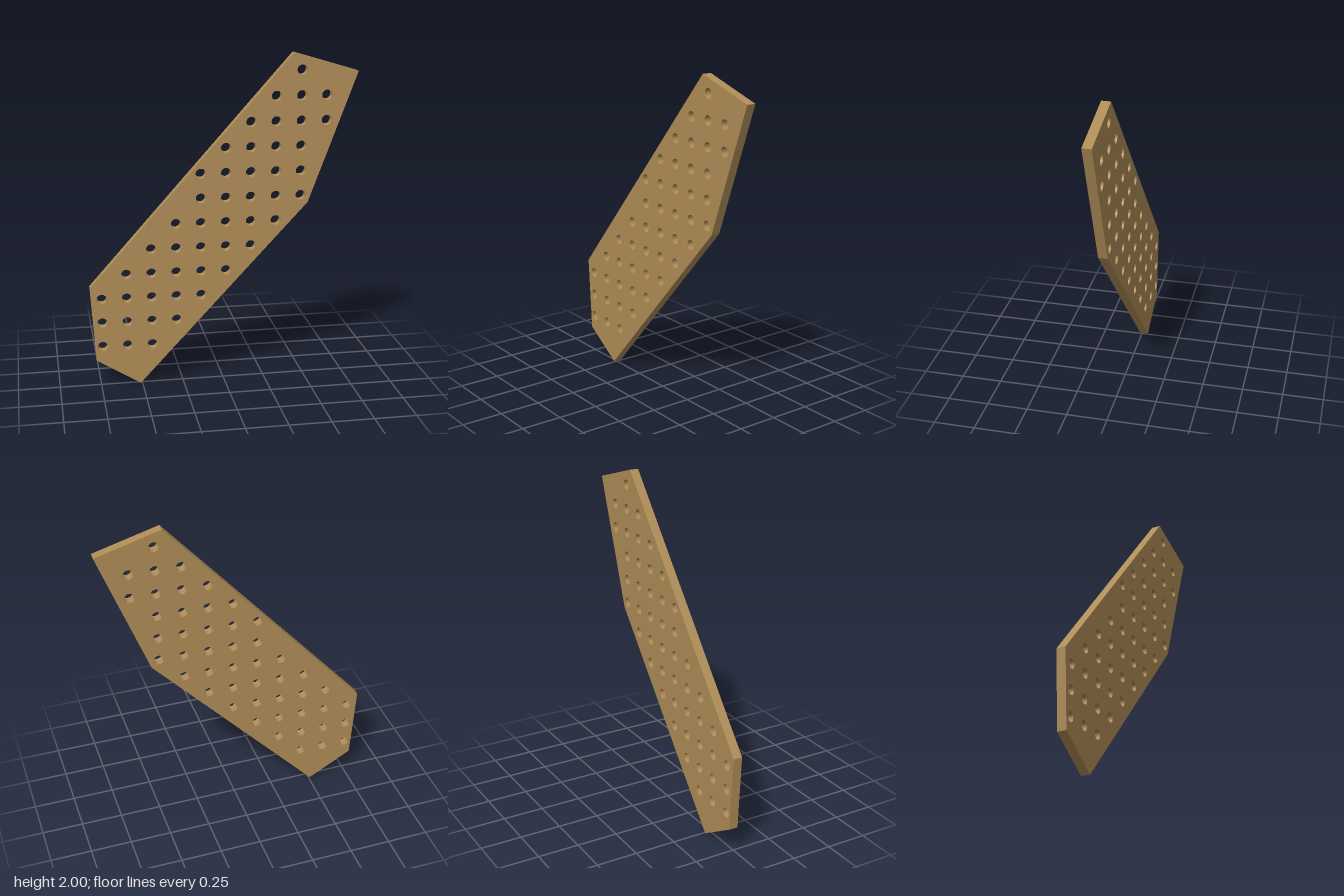
import * as THREE from 'three';

const THICKNESS = 0.055;
const PITCH = 0.15;
const HOLE_RADIUS = 0.03;
const FIRST_HOLE = [-0.735, 0.25];

// Outline corners of the plate, counter-clockwise
const OUTLINE = [
  [-0.51, 0], [0.51, 1.105], [0.8, 1.885],
  [0.415, 2], [-0.805, 0.62], [-0.775, 0.16],
];

// First and last hole column of each row, from the bottom up
const HOLE_ROWS = [
  [0, 2], [0, 3], [0, 4], [1, 5], [2, 6], [3, 7],
  [4, 8], [4, 8], [5, 8], [6, 9], [7, 9], [8, 8],
];

export function createModel() {
  const group = new THREE.Group();
  group.name = 'perforatedPanel';

  // Plate outline with a regular grid of round holes
  const shape = new THREE.Shape(OUTLINE.map(([x, y]) => new THREE.Vector2(x, y)));
  HOLE_ROWS.forEach(([first, last], row) => {
    for (let col = first; col <= last; col++) {
      const hole = new THREE.Path();
      hole.absarc(FIRST_HOLE[0] + col * PITCH, FIRST_HOLE[1] + row * PITCH, HOLE_RADIUS, 0, Math.PI * 2, true);
      shape.holes.push(hole);
    }
  });

  const geometry = new THREE.ExtrudeGeometry(shape, {
    depth: THICKNESS, bevelEnabled: false, curveSegments: 16,
  });
  geometry.translate(0, 0, -THICKNESS / 2);

  // The plate is turned slightly about the vertical axis
  const plate = new THREE.Mesh(geometry, new THREE.MeshStandardMaterial({ color: 0xb08d57 }));
  plate.name = 'plate';
  plate.rotation.y = -0.0235;
  group.add(plate);

  return group;
}
